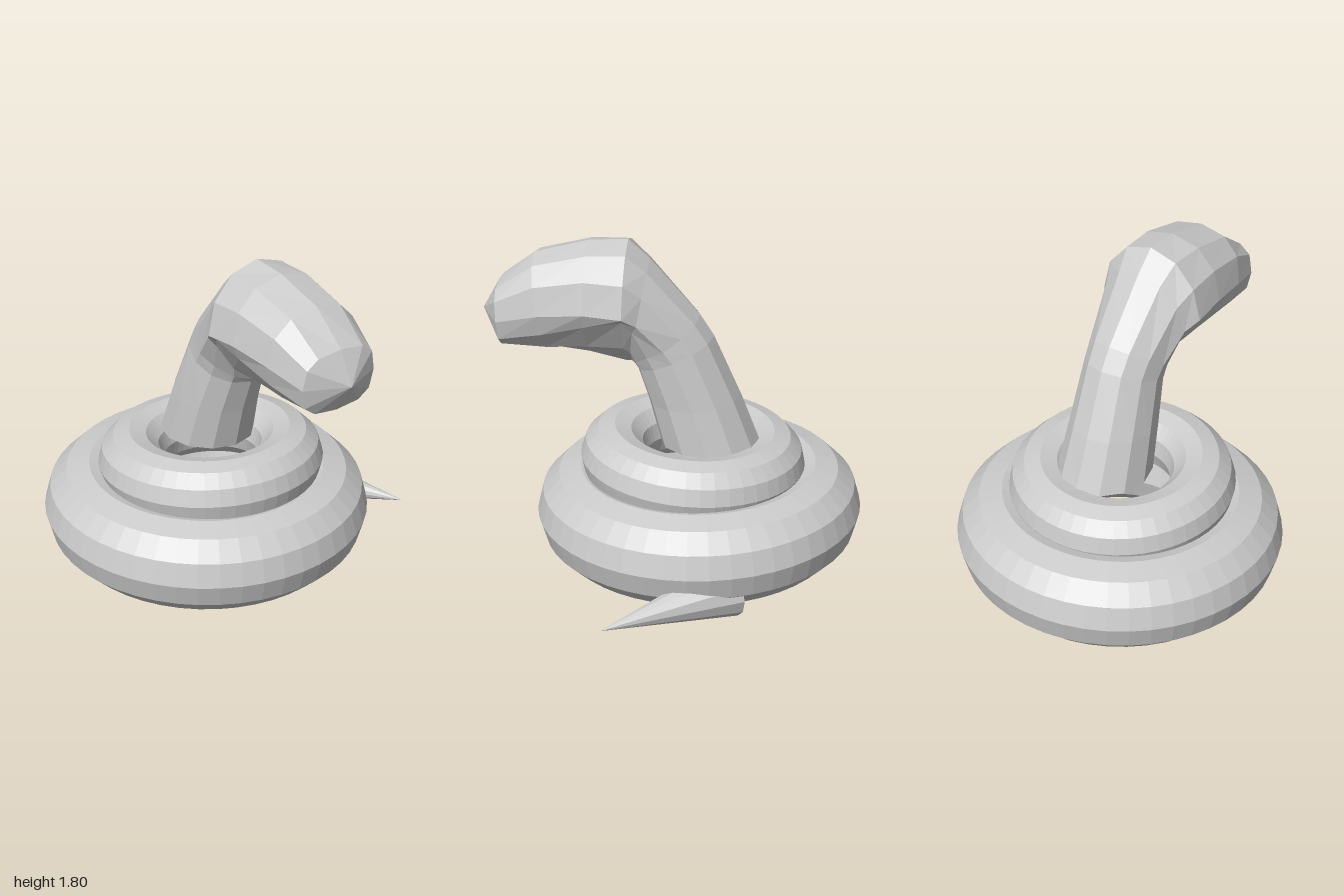
import * as THREE from 'three';

const material = new THREE.MeshStandardMaterial({ color: 0xcccccc, flatShading: true });

function addMesh(parent, name, geometry) {
  const mesh = new THREE.Mesh(geometry, material);
  mesh.name = name;
  parent.add(mesh);
  return mesh;
}

// Horizontal body coil; tilt raises the front edge
function addCoil(parent, name, radius, tube, position, tilt) {
  const geometry = new THREE.TorusGeometry(radius, tube, 12, 48);
  geometry.rotateX(Math.PI / 2);
  const coil = addMesh(parent, name, geometry);
  coil.position.set(...position);
  coil.rotation.x = tilt;
}

// Rings: throat z, y, back z, y, half width, underside pinch, squareness
const rings = [
  [0.08, 0.70, -0.45, 0.70, 0.245, 0, 1],
  [0.14, 0.93, -0.345, 0.97, 0.225, 0, 1],
  [0.20, 1.12, -0.20, 1.30, 0.205, 0, 1],
  [0.22, 1.14, -0.13, 1.41, 0.21, 0.03, 1],
  [0.23, 1.145, 0.13, 1.71, 0.25, 0.11, 1],
  [0.26, 1.145, 0.24, 1.81, 0.295, 0.16, 1],
  [0.45, 1.19, 0.44, 1.80, 0.29, 0.10, 0.9],
  [0.65, 1.215, 0.72, 1.73, 0.265, 0.04, 0.85],
  [0.89, 1.255, 0.91, 1.58, 0.215, 0, 0.7],
];

// Lofted neck and head, closed at the base and at the nose
function neckAndHead() {
  const sides = 12;
  const positions = [];
  const index = [];
  const round = (v, power) => Math.sign(v) * Math.abs(v) ** power;
  for (const [bz, by, tz, ty, width, pinch, power] of rings) {
    const centreX = by < 1 ? -0.043 : -0.033;
    for (let i = 0; i < sides; i++) {
      const a = (i / sides) * Math.PI * 2;
      const up = round(Math.cos(a), power);
      const t = (1 + up) / 2;
      const lift = up < -0.1 ? pinch * Math.abs(Math.sin(a)) : 0;
      positions.push(
        centreX + width * round(Math.sin(a), power),
        by + (ty - by) * t + lift,
        bz + (tz - bz) * t,
      );
    }
  }
  const last = (rings.length - 1) * sides;
  const base = rings.length * sides;
  const nose = base + 1;
  positions.push(-0.043, 0.70, -0.185, -0.033, 1.42, 1.0);
  for (let i = 0; i < sides; i++) {
    const j = (i + 1) % sides;
    for (let r = 0; r < last; r += sides) {
      index.push(r + i, r + sides + j, r + j, r + i, r + sides + i, r + sides + j);
    }
    index.push(base, i, j, nose, last + j, last + i);
  }
  const geometry = new THREE.BufferGeometry();
  geometry.setAttribute('position', new THREE.Float32BufferAttribute(positions, 3));
  // Turn the faces outward (ring order runs top, +x, bottom, -x)
  geometry.setIndex(outward(index, positions));
  geometry.computeVertexNormals();
  return geometry;
}

// Reverse the winding if the enclosed volume is negative
function outward(index, positions) {
  const point = (i) => new THREE.Vector3().fromArray(positions, i * 3);
  let volume = 0;
  for (let i = 0; i < index.length; i += 3) {
    volume += point(index[i]).dot(point(index[i + 1]).cross(point(index[i + 2])));
  }
  return volume < 0 ? index.slice().reverse() : index;
}

export function createModel() {
  const model = new THREE.Group();
  model.name = 'coiledSnake';

  addCoil(model, 'lowerCoil', 0.63, 0.245, [-0.095, 0.302, -0.123], 0.02);
  addCoil(model, 'upperCoil', 0.427, 0.175, [-0.087, 0.58, -0.09], -0.055);
  addMesh(model, 'neckAndHead', neckAndHead());

  // Pointed tail poking out from under the lower coil
  const tailBase = new THREE.Vector3(0.57, 0.155, -0.33);
  const tailTip = new THREE.Vector3(0.97, 0.11, 0.29);
  const along = tailTip.clone().sub(tailBase);
  const tail = addMesh(model, 'tail', new THREE.ConeGeometry(0.15, along.length(), 12));
  tail.position.copy(tailBase).addScaledVector(along, 0.5);
  tail.quaternion.setFromUnitVectors(new THREE.Vector3(0, 1, 0), along.normalize());

  return model;
}
